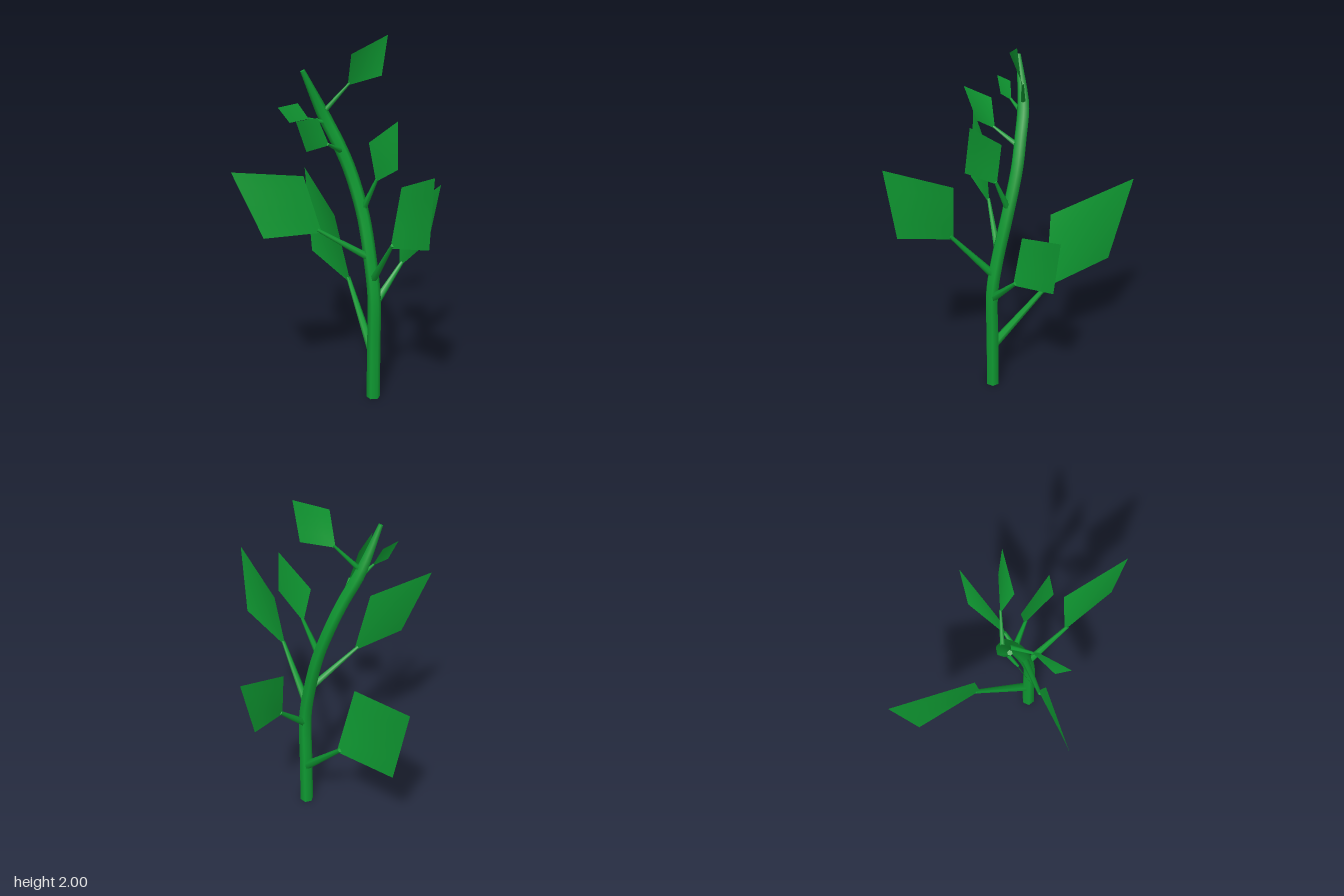
import * as THREE from 'three';

const V = (p) => new THREE.Vector3(...p);

// Centre line of the stem: upright below, leaning over above
const STEM = new THREE.CatmullRomCurve3([
  [0.083, 0, 0.135], [0.083, 0.3, 0.135], [0.083, 0.6, 0.135], [0.083, 0.8, 0.1],
  [0.08, 1.05, 0.035], [0.05, 1.28, -0.04], [0.01, 1.42, -0.085],
  [-0.05, 1.58, -0.14], [-0.155, 1.82, -0.175],
].map(V));

// Point on the centre line at a given height
function stemAt(y) {
  let low = 0, high = 1;
  for (let i = 0; i < 20; i++) {
    const mid = (low + high) / 2;
    if (STEM.getPoint(mid).y < y) low = mid;
    else high = mid;
  }
  return STEM.getPoint(low);
}

// Hexagonal main stem: a tube narrowed by height, closed at both ends
function makeStem(material) {
  const segments = 40, sides = 6;
  const radiusAt = (y) => (y < 1.58
    ? THREE.MathUtils.lerp(0.038, 0.034, y / 1.58)
    : THREE.MathUtils.mapLinear(y, 1.58, 1.82, 0.034, 0.013));
  const geometry = new THREE.TubeGeometry(STEM, segments, 1, sides);
  const pos = geometry.attributes.position;
  const v = new THREE.Vector3();
  for (let i = 0; i <= segments; i++) {
    const centre = STEM.getPointAt(i / segments);
    for (let j = 0; j <= sides; j++) {
      const k = i * (sides + 1) + j;
      v.fromBufferAttribute(pos, k).sub(centre).multiplyScalar(radiusAt(centre.y)).add(centre);
      pos.setXYZ(k, v.x, v.y, v.z);
    }
  }
  const stem = new THREE.Group();
  stem.name = 'stem';
  const body = new THREE.Mesh(geometry, material);
  body.name = 'stemBody';
  stem.add(body);

  // End caps fitted to the first and last rings
  for (const end of [0, 1]) {
    const ring = [];
    for (let j = 0; j < sides; j++) {
      ring.push(new THREE.Vector3().fromBufferAttribute(pos, end * segments * (sides + 1) + j));
    }
    const points = [];
    for (let j = 1; j < sides - 1; j++) {
      if (end) points.push(ring[0], ring[j], ring[j + 1]);
      else points.push(ring[0], ring[j + 1], ring[j]);
    }
    const capGeometry = new THREE.BufferGeometry().setFromPoints(points);
    capGeometry.computeVertexNormals();
    const cap = new THREE.Mesh(capGeometry, material);
    cap.name = end ? 'stemTip' : 'stemBase';
    stem.add(cap);
  }
  return stem;
}

// Tapered stalk from the stem to just inside the blade, thinner higher up
function makeStalk(height, base, tip, material) {
  const a = stemAt(height);
  const b = base.clone().lerp(tip, 0.05);
  const dir = b.clone().sub(a);
  const r = THREE.MathUtils.mapLinear(height, 0.26, 1.59, 0.026, 0.014);
  const mesh = new THREE.Mesh(new THREE.CylinderGeometry(r * 0.45, r, dir.length(), 6), material);
  mesh.position.copy(a).add(b).multiplyScalar(0.5);
  mesh.quaternion.setFromUnitVectors(new THREE.Vector3(0, 1, 0), dir.normalize());
  mesh.name = 'leafStalk';
  return mesh;
}

// Slightly twisted four-cornered blade
function makeBlade([base, sideA, tip, sideB], material) {
  const geometry = new THREE.PlaneGeometry(1, 1, 4, 4);
  const pos = geometry.attributes.position;
  for (let i = 0; i < pos.count; i++) {
    const u = pos.getX(i) + 0.5, w = pos.getY(i) + 0.5;
    const p = base.clone().lerp(sideA, u).lerp(sideB.clone().lerp(tip, u), w);
    pos.setXYZ(i, p.x, p.y, p.z);
  }
  geometry.computeVertexNormals();
  const mesh = new THREE.Mesh(geometry, material);
  mesh.name = 'leafBlade';
  return mesh;
}

// One leaf: height of its stalk on the stem, then blade base, side, tip, side
function makeLeaf(name, height, corners, material) {
  const blade = corners.map(V);
  const leaf = new THREE.Group();
  leaf.name = name;
  leaf.add(makeStalk(height, blade[0], blade[2], material), makeBlade(blade, material));
  return leaf;
}

export function createModel() {
  const green = new THREE.MeshStandardMaterial({ color: 0x0f9a32, side: THREE.DoubleSide });
  green.name = 'leafGreen';

  const plant = new THREE.Group();
  plant.name = 'plant';
  const addLeaf = (name, height, ...corners) => plant.add(makeLeaf(name, height, corners, green));

  plant.add(makeStem(green));
  addLeaf('lowerBackLeaf', 0.25, [0.15, 0.565, -0.17], [0.165, 0.635, -0.58], [0.2, 1.115, -0.7], [0.085, 0.97, -0.235]);
  addLeaf('lowerLeftLeaf', 0.56, [0.27, 0.735, 0.12], [0.535, 0.8, 0.048], [0.605, 1.125, 0.06], [0.29, 1.015, 0.08]);
  addLeaf('frontLeaf', 0.7, [0.03, 0.96, 0.335], [0.02, 1.05, 0.65], [0, 1.435, 0.7], [0.08, 1.285, 0.355]);
  addLeaf('rightLeaf', 0.82, [-0.165, 0.99, 0], [-0.48, 1.005, -0.068], [-0.605, 1.36, -0.16], [-0.255, 1.31, -0.03]);
  addLeaf('middleFrontLeaf', 1.07, [0.103, 1.25, 0.115], [0.1, 1.36, 0.3], [0.115, 1.605, 0.275], [0.085, 1.455, 0.075]);
  addLeaf('upperRightLeaf', 1.385, [-0.11, 1.455, -0.005], [-0.265, 1.45, 0.015], [-0.345, 1.625, 0.045], [-0.17, 1.605, -0.02]);
  addLeaf('upperBackLeaf', 1.535, [-0.15, 1.575, -0.13], [-0.265, 1.57, -0.135], [-0.325, 1.655, -0.15], [-0.2, 1.66, -0.155]);
  addLeaf('topLeaf', 1.59, [0.055, 1.735, -0.07], [0.2, 1.785, 0.03], [0.21, 2, 0.065], [0.03, 1.91, -0.005]);
  return plant;
}
